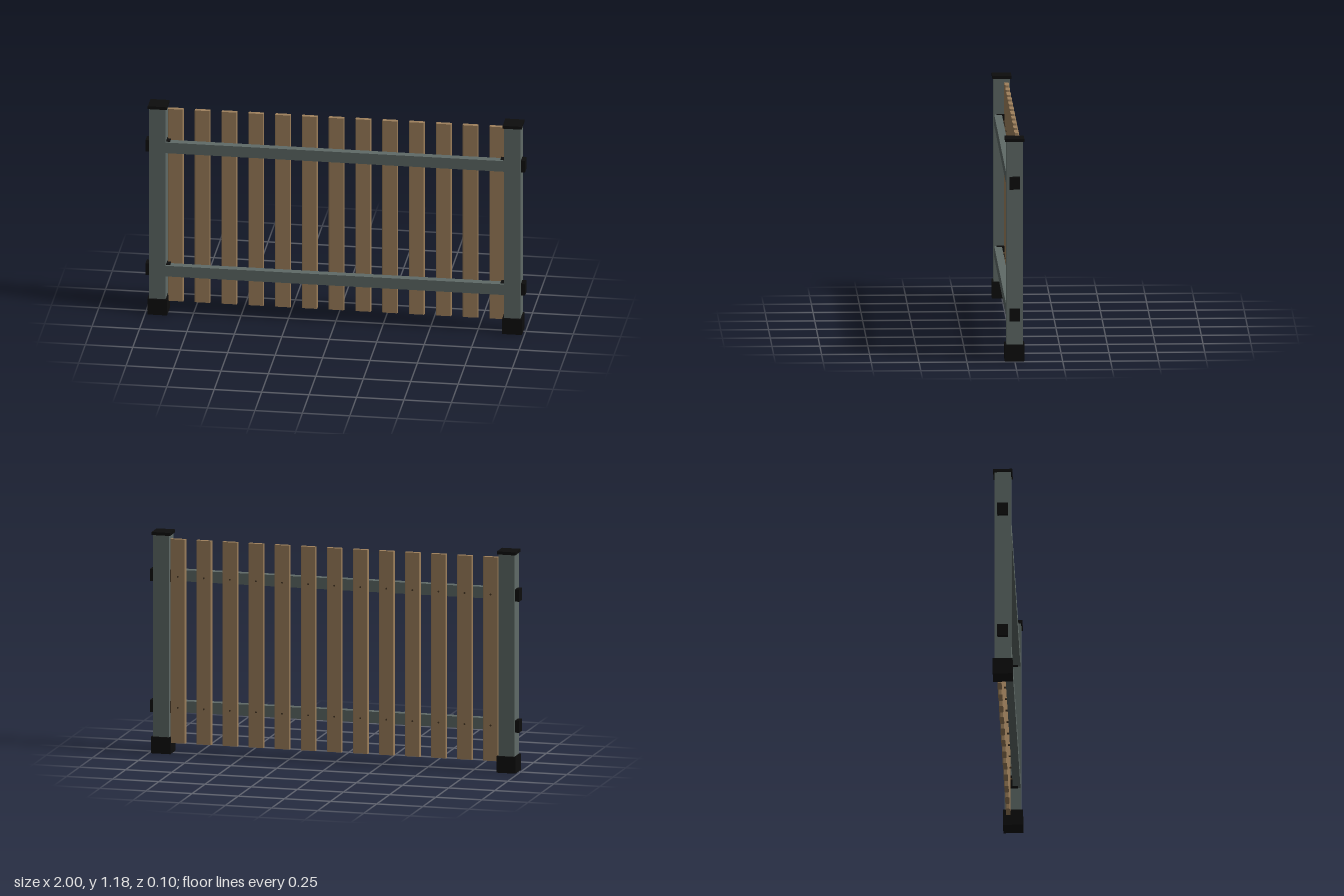
import * as THREE from 'three';

const material = (name, color) => {
  const m = new THREE.MeshStandardMaterial({ color });
  m.name = name;
  return m;
};

export function createModel() {
  const model = new THREE.Group();
  model.name = 'fencePanel';
  const steel = material('greySteel', 0x5f6a67);
  const wood = material('brownWood', 0x9e805c);
  const black = material('blackPlastic', 0x0d0d0d);
  const brass = material('darkScrew', 0x4a3a28);

  const add = (parent, name, geometry, mat, x, y, z) => {
    const mesh = new THREE.Mesh(geometry, mat);
    mesh.name = name;
    mesh.position.set(x, y, z);
    parent.add(mesh);
    return mesh;
  };
  const box = (w, h, d) => new THREE.BoxGeometry(w, h, d);
  const railHeights = [0.246, 0.944];

  // Posts with foot, cap and rail brackets
  for (const side of [-1, 1]) {
    const post = new THREE.Group();
    post.name = side > 0 ? 'leftPost' : 'rightPost';
    post.position.x = side * 0.935;
    add(post, 'postBody', box(0.086, 1.16, 0.086), steel, 0, 0.584, 0);
    add(post, 'postFoot', box(0.104, 0.088, 0.104), black, 0, 0.044, 0);
    add(post, 'postCap', box(0.1, 0.016, 0.1), black, 0, 1.17, 0);
    for (const y of railHeights) {
      add(post, 'railBracket', box(0.13, 0.065, 0.056), black, 0, y, 0);
    }
    model.add(post);
  }

  // Horizontal rails
  for (const y of railHeights) {
    add(model, 'rail', box(1.82, 0.06, 0.04), steel, 0, y, 0.02);
  }

  // Picket with small chamfers along its long edges
  const w = 0.041, d = 0.0115, c = 0.004;
  const section = new THREE.Shape([
    [-w + c, -d], [w - c, -d], [w, -d + c], [w, d - c],
    [w - c, d], [-w + c, d], [-w, d - c], [-w, -d + c],
  ].map(([x, y]) => new THREE.Vector2(x, y)));
  const picketGeometry = new THREE.ExtrudeGeometry(section, { depth: 1.086, bevelEnabled: false });
  picketGeometry.rotateX(-Math.PI / 2);
  const screwGeometry = new THREE.CylinderGeometry(0.005, 0.005, 0.046, 10);
  screwGeometry.rotateX(Math.PI / 2);

  for (let i = -6; i <= 6; i++) {
    const x = i * 0.1412;
    add(model, 'picket', picketGeometry, wood, x, 0.057, -0.0235);
    // Screws joining picket and rails
    for (const y of railHeights) add(model, 'screw', screwGeometry, brass, x, y, -0.014);
  }
  return model;
}
